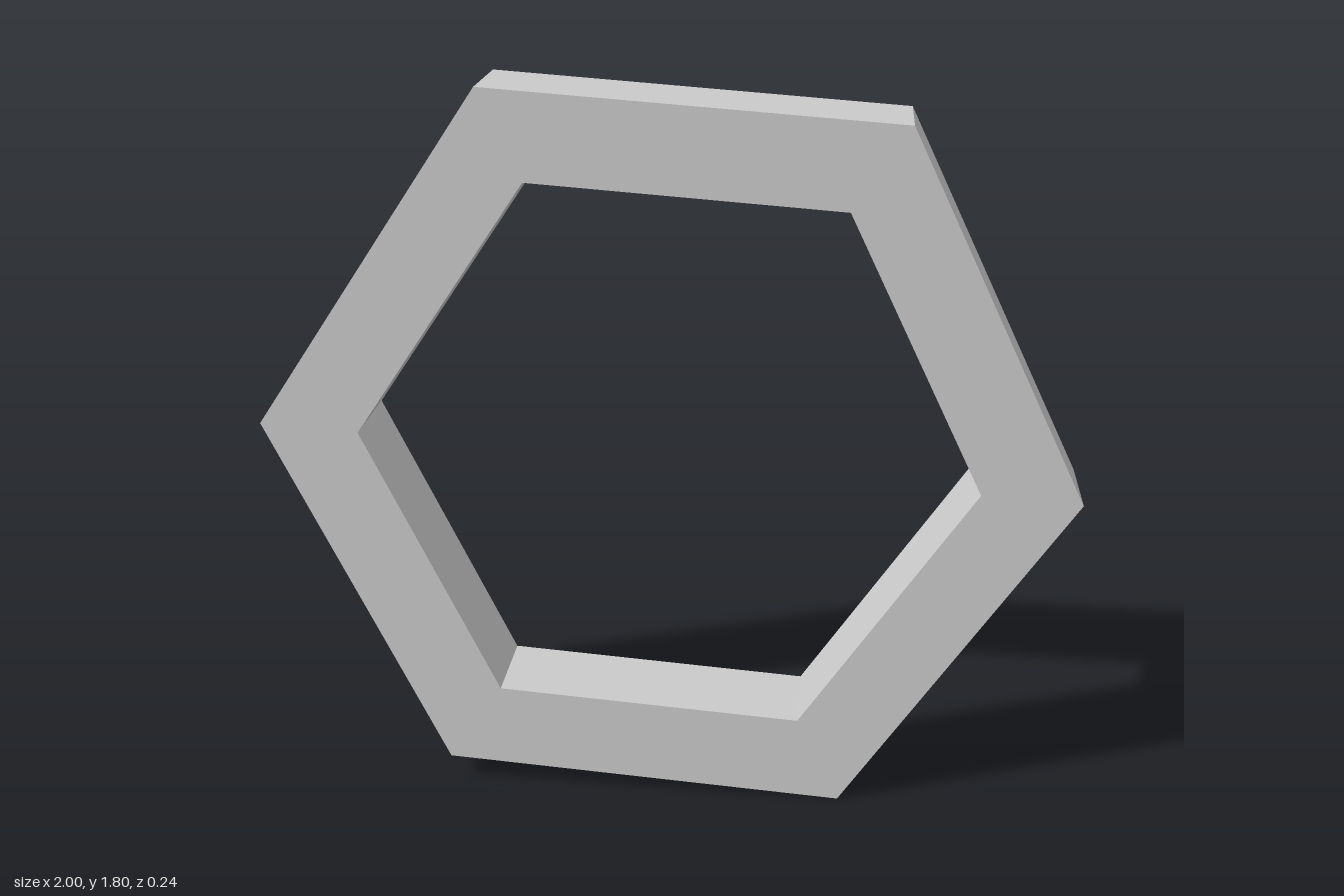
import * as THREE from 'three';

const TILT = THREE.MathUtils.degToRad(-4); // slight roll of the hexagon
const OUTER = 1.0025, INNER = 0.759, DEPTH = 0.244;

// Corners of a regular hexagon about the origin
function hexagon(radius) {
  return Array.from({ length: 6 }, (_, i) => {
    const a = TILT + (i * Math.PI) / 3;
    return new THREE.Vector2(radius * Math.cos(a), radius * Math.sin(a));
  });
}

export function createModel() {
  const group = new THREE.Group();
  group.name = 'hexagonalFrame';

  // Flat six-sided ring with a hexagonal opening
  const shape = new THREE.Shape(hexagon(OUTER));
  shape.holes.push(new THREE.Path(hexagon(INNER)));
  const geometry = new THREE.ExtrudeGeometry(shape, { depth: DEPTH, bevelEnabled: false });
  geometry.computeBoundingBox();
  geometry.translate(0, -geometry.boundingBox.min.y, -DEPTH / 2);

  const ring = new THREE.Mesh(
    geometry,
    new THREE.MeshStandardMaterial({ color: 0xcccccc, flatShading: true })
  );
  ring.name = 'hexagonRing';
  group.add(ring);
  return group;
}
